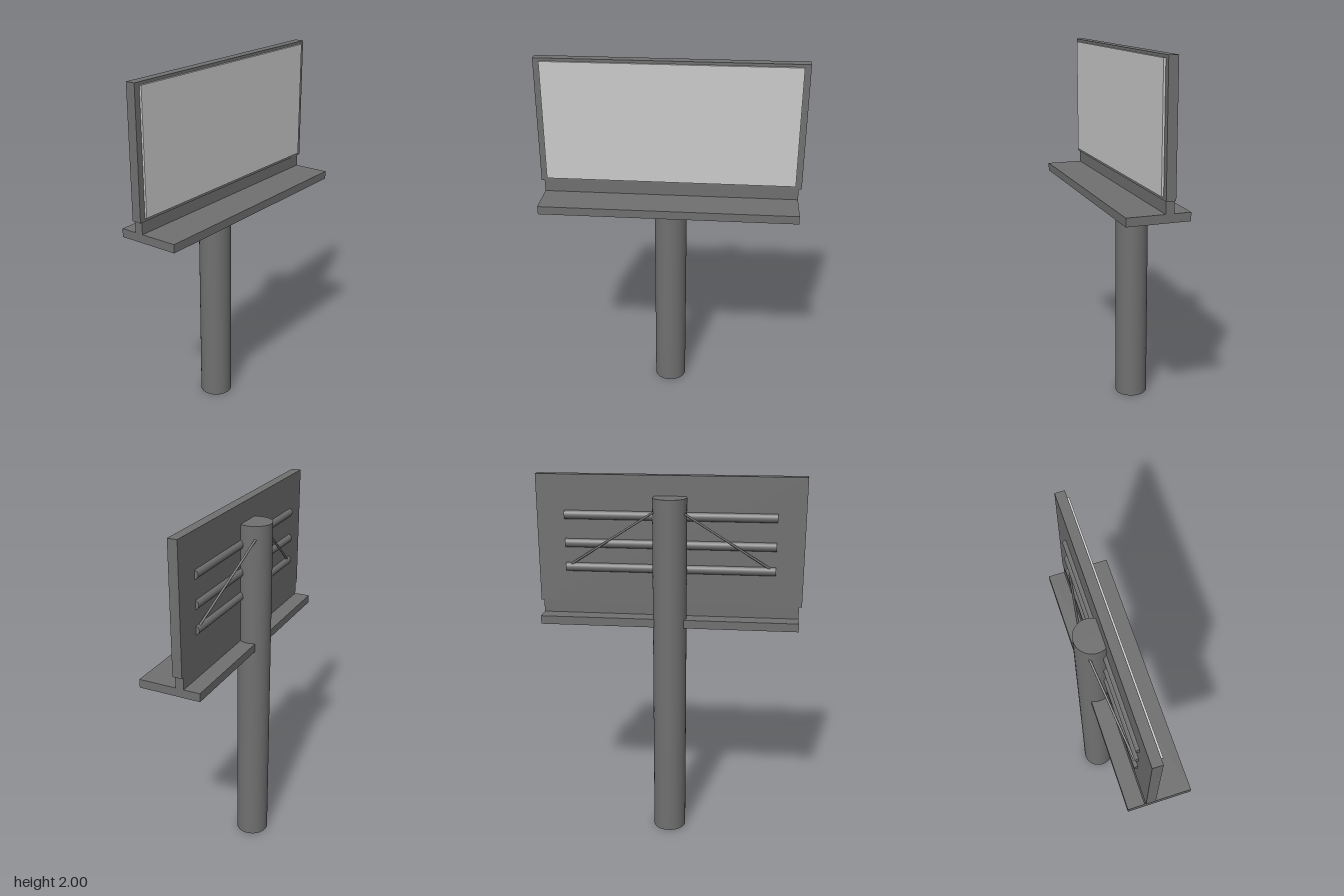
import * as THREE from 'three';

const dark = new THREE.MeshStandardMaterial({ color: 0x707070 });
const grey = new THREE.MeshStandardMaterial({ color: 0xcccccc });

export function createModel() {
  const group = new THREE.Group();

  const add = (name, geometry, material = dark) => {
    const mesh = new THREE.Mesh(geometry, material);
    mesh.name = name;
    group.add(mesh);
    return mesh;
  };

  // Box given by its half width and its y and z limits
  const box = (name, halfX, y0, y1, z0, z1, material) =>
    add(name, new THREE.BoxGeometry(2 * halfX, y1 - y0, z1 - z0), material)
      .position.set(0, (y0 + y1) / 2, (z0 + z1) / 2);

  // Round bar between two points
  const bar = (name, a, b, radius, sides) => {
    const start = new THREE.Vector3(...a), end = new THREE.Vector3(...b);
    const dir = end.clone().sub(start);
    const mesh = add(name, new THREE.CylinderGeometry(radius, radius, dir.length(), sides));
    mesh.position.copy(start).add(end).multiplyScalar(0.5);
    mesh.quaternion.setFromUnitVectors(new THREE.Vector3(0, 1, 0), dir.normalize());
  };

  // Supporting column
  bar('pole', [-0.005, 0, -0.1], [-0.005, 1.895, -0.1], 0.09, 48);

  // Board with raised display face
  box('boardFrame', 0.705, 1.32, 2, -0.056, -0.005);
  box('displayPanel', 0.672, 1.338, 1.985, -0.02, 0.006, grey);

  // Apron under the board and the service walkway
  box('apron', 0.69, 1.25, 1.325, -0.055, -0.01);
  box('walkway', 0.69, 1.21, 1.255, -0.143, 0.192);

  // Horizontal stiffening rails on the back
  for (const y of [1.79, 1.64, 1.51])
    bar('backRail', [-0.56, y, -0.05], [0.557, y, -0.05], 0.024, 24);

  // Diagonal braces from the pole to the lowest rail
  for (const side of [-1, 1])
    bar(side > 0 ? 'leftBrace' : 'rightBrace',
      [side * 0.075, 1.825, -0.138], [side * 0.53, 1.525, -0.06], 0.006, 12);

  return group;
}
